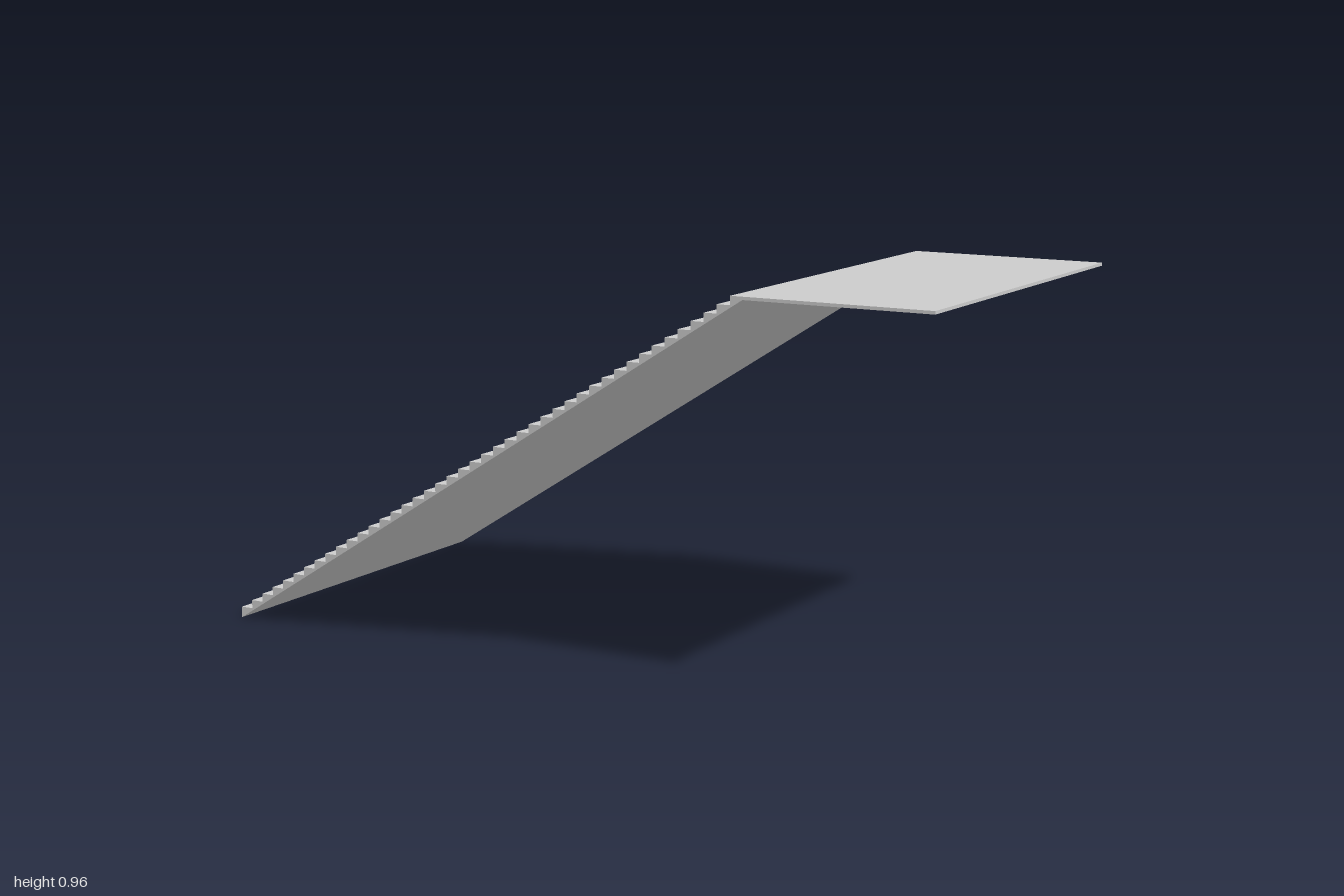
import * as THREE from 'three';

const HALF_DEPTH = 0.522;
const TOP = 0.963;        // walking surface of the landing
const SLAB = 0.008;       // landing thickness
const STEPS = 42;         // treads below the landing
const LAST_RISER = 0.477; // x of the riser that meets the landing
const JOINT = 0.51;       // x where the flight's underside meets the landing

const material = new THREE.MeshStandardMaterial({ color: 0xcccccc, flatShading: true });

// Extrude a side profile across the full depth, centred on z = 0
function addProfile(group, name, points) {
  const shape = new THREE.Shape(points.map(([x, y]) => new THREE.Vector2(x, y)));
  const geometry = new THREE.ExtrudeGeometry(shape, { depth: 2 * HALF_DEPTH, bevelEnabled: false });
  geometry.translate(0, 0, -HALF_DEPTH);
  const mesh = new THREE.Mesh(geometry, material);
  mesh.name = name;
  group.add(mesh);
}

export function createModel() {
  const group = new THREE.Group();
  group.name = 'staircase';

  // Stair flight: sloped underside, then treads and risers from the top down
  const run = (LAST_RISER + 1) / STEPS;
  const rise = run * (TOP - SLAB) / (JOINT + 1);
  const flight = [[-1, 0], [JOINT, TOP - SLAB], [JOINT, TOP], [LAST_RISER, TOP]];
  for (let i = 1; i <= STEPS; i++) {
    const y = TOP - i * rise;
    const x = LAST_RISER - i * run;
    flight.push([x + run, y], [x, y]);
  }
  addProfile(group, 'stairFlight', flight);

  // Flat landing at the top
  addProfile(group, 'landing', [[JOINT, TOP - SLAB], [1, TOP - SLAB], [1, TOP], [JOINT, TOP]]);

  return group;
}
